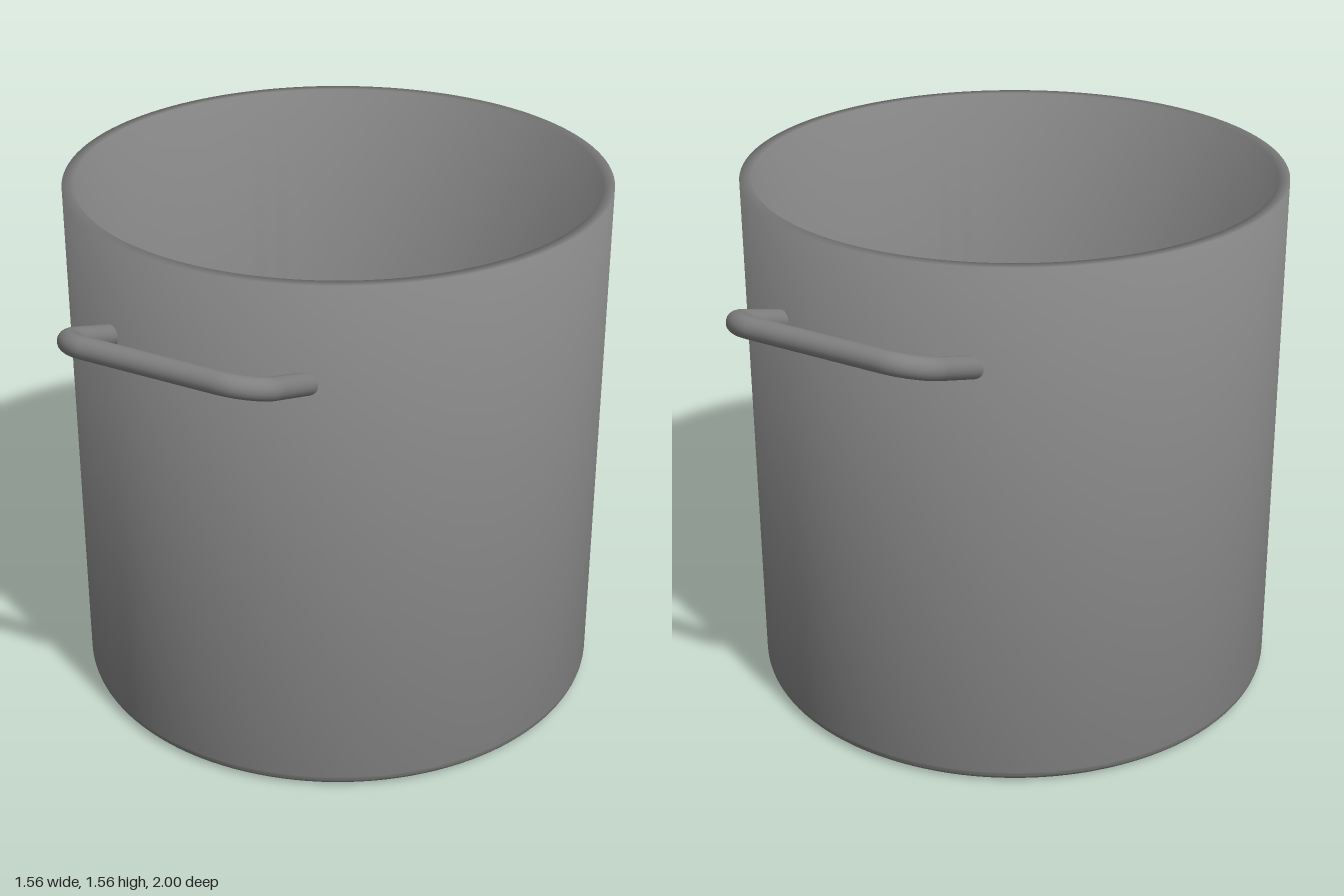
import * as THREE from 'three';
import { toCreasedNormals } from 'three/addons/utils/BufferGeometryUtils.js';

const SEGMENTS = 128;
const R_OUT = 0.778, R_IN = 0.745, HEIGHT = 1.56, FLOOR = 0.033, FILLET = 0.035;

// Profile from the axis along a flat disc, round a fillet and up to the rim
function wallProfile(radius, bottom) {
  const pts = [new THREE.Vector2(0, bottom), new THREE.Vector2(radius - FILLET - 0.01, bottom)];
  for (let i = 0; i <= 8; i++) {
    const a = (i / 8) * Math.PI / 2;
    pts.push(new THREE.Vector2(
      radius - FILLET + FILLET * Math.sin(a),
      bottom + FILLET - FILLET * Math.cos(a)));
  }
  pts.push(new THREE.Vector2(radius, HEIGHT));
  return pts;
}

// Tilted U-shaped path with rounded corners
function handlePath() {
  const halfW = 0.3, zIn = 0.7, zOut = 0.97, yOut = 1.375, slope = 0.36, r = 0.1, k = 0.45 * r;
  const p = (x, z) => new THREE.Vector3(x, yOut - slope * (zOut - z), z);
  const path = new THREE.CurvePath();
  path.add(new THREE.LineCurve3(p(-halfW, zIn), p(-halfW, zOut - r)));
  path.add(new THREE.CubicBezierCurve3(
    p(-halfW, zOut - r), p(-halfW, zOut - k), p(-halfW + k, zOut), p(-halfW + r, zOut)));
  path.add(new THREE.LineCurve3(p(-halfW + r, zOut), p(halfW - r, zOut)));
  path.add(new THREE.CubicBezierCurve3(
    p(halfW - r, zOut), p(halfW - k, zOut), p(halfW, zOut - k), p(halfW, zOut - r)));
  path.add(new THREE.LineCurve3(p(halfW, zOut - r), p(halfW, zIn)));
  return path;
}

export function createModel() {
  const model = new THREE.Group();
  model.name = 'stockPot';
  const material = new THREE.MeshStandardMaterial({ color: 0x808080 });

  const add = (name, geometry) => {
    const mesh = new THREE.Mesh(geometry, material);
    mesh.name = name;
    model.add(mesh);
    return mesh;
  };

  // Pot body: outer shell, rim and inner shell in one turned profile, shaded softly over the rim
  const profile = [...wallProfile(R_OUT, 0), ...wallProfile(R_IN, FLOOR).reverse()];
  add('potBody', toCreasedNormals(new THREE.LatheGeometry(profile, SEGMENTS), Math.PI * 0.6));

  // Pair of bent-rod handles, ends sunk into the wall
  const handle = new THREE.TubeGeometry(handlePath(), 80, 0.031, 20, false);
  add('frontHandle', handle);
  add('backHandle', handle).rotation.y = Math.PI;

  return model;
}
